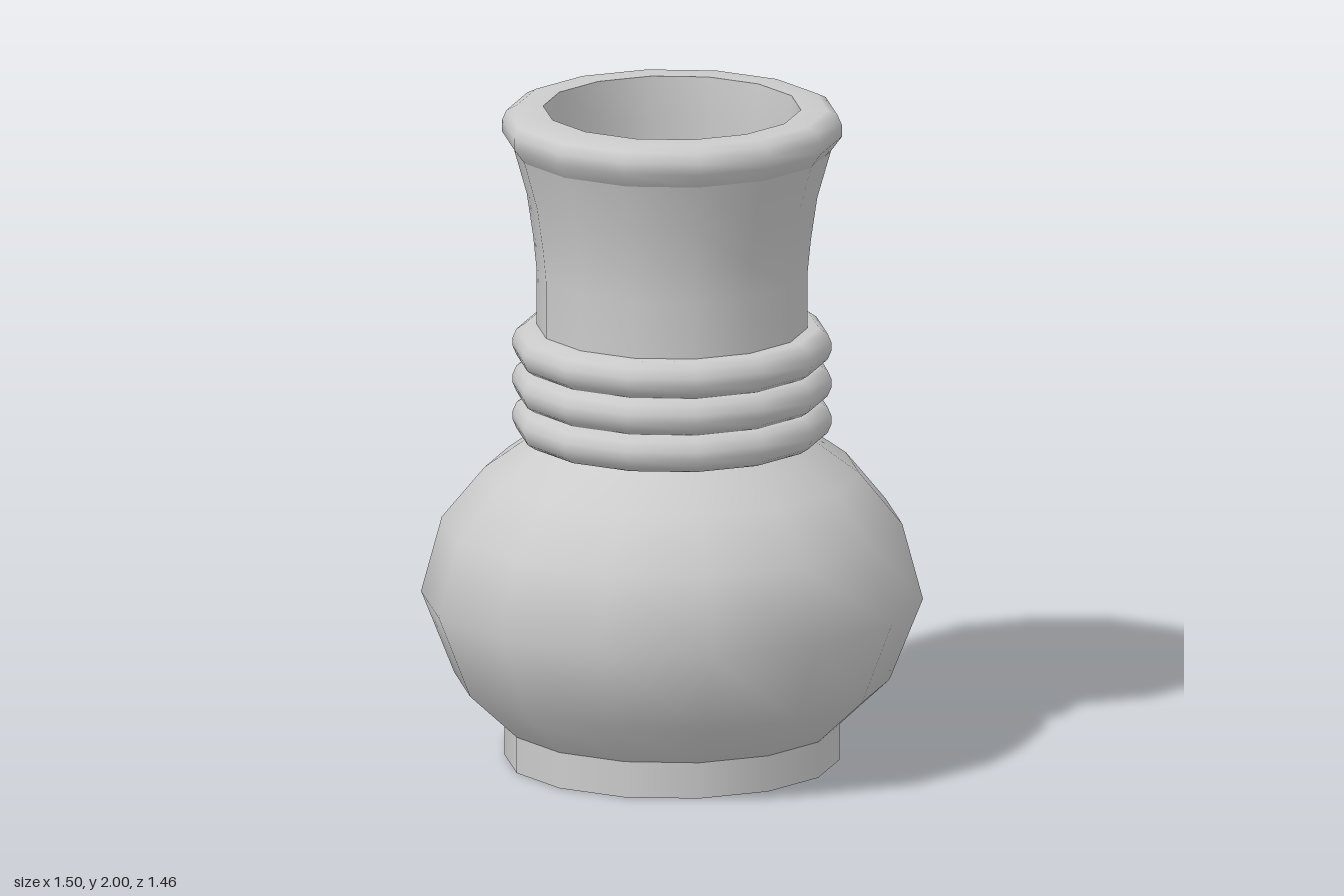
import * as THREE from 'three';

const SIDES = 14;

export function createModel() {
  const vase = new THREE.Group();
  vase.name = 'vase';
  const material = new THREE.MeshStandardMaterial({ color: 0xcccccc });

  // Each turned section is its own lathe, so the edges between sections stay sharp
  const turn = (name, profile, y = 0) => {
    const points = profile.map(([r, h]) => new THREE.Vector2(r, h));
    const mesh = new THREE.Mesh(new THREE.LatheGeometry(points, SIDES, Math.PI / 2), material);
    mesh.name = name;
    mesh.position.y = y;
    vase.add(mesh);
  };

  // Foot
  turn('footUnderside', [[0, 0], [0.5, 0]]);
  turn('footWall', [[0.5, 0], [0.5, 0.11]]);

  // Round belly
  turn('belly', [[0.5, 0.11], [0.65, 0.25], [0.75, 0.5], [0.688, 0.73], [0.56, 0.885], [0.4, 1.0]]);

  // Three stacked collar rings
  for (let i = 0; i < 3; i++) {
    turn('collarRing' + (i + 1), [
      [0.38, 0], [0.44, 0], [0.465, 0.017], [0.477, 0.045],
      [0.477, 0.068], [0.465, 0.096], [0.44, 0.113], [0.38, 0.113],
    ], 0.99 + i * 0.113);
  }

  // Flared neck and rolled lip
  turn('neck', [[0.405, 1.3], [0.405, 1.5], [0.415, 1.6], [0.434, 1.73], [0.475, 1.875]]);
  turn('lip', [[0.475, 1.875], [0.508, 1.92], [0.508, 1.955], [0.495, 1.985], [0.465, 2], [0.385, 2]]);

  // Hollow inside
  turn('innerWall', [[0.385, 2], [0.375, 1.87], [0.348, 0.11]]);
  turn('innerFloor', [[0.348, 0.11], [0, 0.11]]);

  return vase;
}
